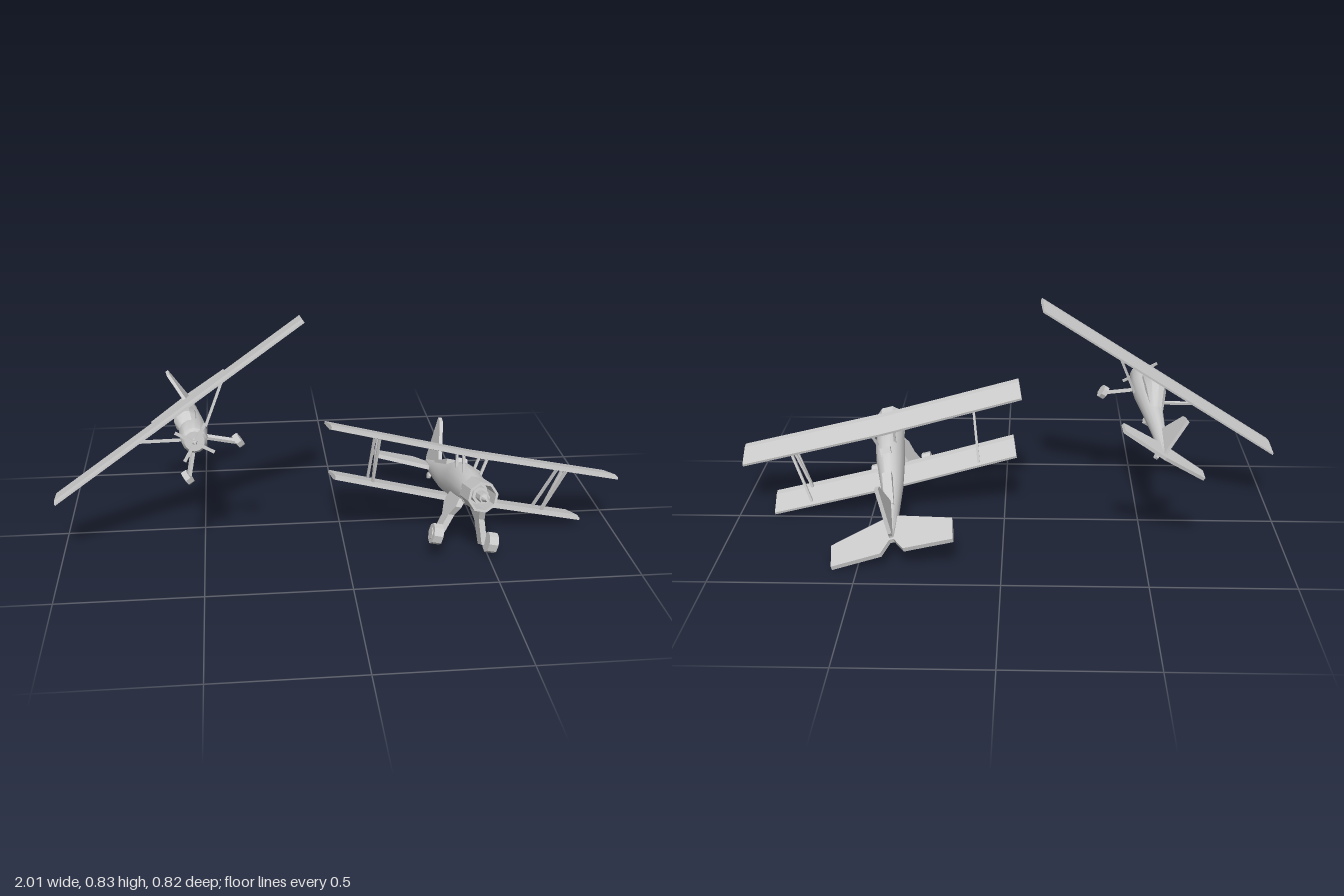
import * as THREE from 'three';
import { toCreasedNormals } from 'three/addons/utils/BufferGeometryUtils.js';

const flat = new THREE.MeshStandardMaterial({ color: 0xcccccc, flatShading: true, side: THREE.DoubleSide });
const smooth = new THREE.MeshStandardMaterial({ color: 0xcccccc });
const V = (x, y, z) => new THREE.Vector3(x, y, z);

function add(group, name, geometry, material = flat) {
  const mesh = new THREE.Mesh(geometry, material);
  mesh.name = name;
  group.add(mesh);
  return mesh;
}

const toShape = (points) => new THREE.Shape(points.map(([a, b]) => new THREE.Vector2(a, b)));

// Closed body through elliptical sections [z, top, bottom, halfWidth], nose first
function loft(sections, sides = 14) {
  const pos = [], idx = [];
  for (const [z, top, bottom, w] of sections) {
    for (let j = 0; j < sides; j++) {
      const a = (j / sides) * Math.PI * 2;
      pos.push(Math.cos(a) * w, (top + bottom) / 2 + Math.sin(a) * (top - bottom) / 2, z);
    }
  }
  const last = sections.length - 1, centre = sections.length * sides;
  for (const s of [sections[0], sections[last]]) pos.push(0, (s[1] + s[2]) / 2, s[0]);
  for (let j = 0; j < sides; j++) {
    const k = (j + 1) % sides;
    for (let i = 0; i < last; i++) {
      const a = i * sides + j, b = i * sides + k;
      idx.push(a, a + sides, b, a + sides, b + sides, b);
    }
    idx.push(centre, j, k, centre + 1, last * sides + k, last * sides + j);
  }
  const g = new THREE.BufferGeometry();
  g.setAttribute('position', new THREE.Float32BufferAttribute(pos, 3));
  g.setIndex(idx);
  return toCreasedNormals(g, 0.6);
}

// Extrude a (z, y) side profile across x, centred on x = 0
function sideExtrude(points, width, steps = 1) {
  const g = new THREE.ExtrudeGeometry(toShape(points), { depth: width, steps, bevelEnabled: false });
  return g.rotateY(-Math.PI / 2).translate(width / 2, 0, 0);
}

// Horizontal plate from its right-to-left symmetric half outline (x, z)
function tailPlate(half, thickness) {
  const mirrored = half.map(([x, z]) => [-x, z]).reverse();
  const g = new THREE.ExtrudeGeometry(toShape([...half, ...mirrored]), { depth: thickness, bevelEnabled: false });
  return g.rotateX(Math.PI / 2).translate(0, thickness / 2, 0);
}

// Thin wing, raised towards the tips by the dihedral
function wing(span, chord, thickness, dihedral) {
  const h = chord / 2, t = thickness / 2;
  const g = sideExtrude([[h, -t * 0.5], [h, t * 0.5], [h * 0.55, t], [-h, t * 0.5], [-h, -t * 0.5], [h * 0.55, -t]], span, 2);
  const p = g.attributes.position;
  for (let i = 0; i < p.count; i++) p.setY(i, p.getY(i) + Math.abs(p.getX(i)) * dihedral);
  g.computeVertexNormals();
  return g;
}

function strut(group, name, a, b, width, depth = width) {
  const mesh = add(group, name, new THREE.BoxGeometry(width, a.distanceTo(b), depth));
  mesh.position.copy(a).lerp(b, 0.5);
  mesh.quaternion.setFromUnitVectors(V(0, 1, 0), b.clone().sub(a).normalize());
}

function wheel(group, name, at, radius, width, sides = 8) {
  const g = new THREE.CylinderGeometry(radius, radius, width, sides).rotateZ(Math.PI / 2);
  add(group, name, g).position.copy(at);
}

// Cylinder or cone along z
function barrel(group, name, rFront, rBack, z0, z1, sides, open = false) {
  const g = new THREE.CylinderGeometry(rFront, rBack, z1 - z0, sides, 1, open, Math.PI / sides);
  return add(group, name, g.rotateX(Math.PI / 2).translate(0, 0, (z0 + z1) / 2));
}

// Place an aircraft by its origin, its left direction and its forward direction
function orient(group, origin, left, forward) {
  const f = forward.normalize();
  const up = f.clone().cross(left).normalize();
  group.setRotationFromMatrix(new THREE.Matrix4().makeBasis(up.clone().cross(f), up, f));
  group.position.copy(origin);
}

function createMonoplane() {
  const g = new THREE.Group();
  g.name = 'monoplane';
  add(g, 'fuselage', loft([
    [0.178, 0.036, -0.034, 0.034], [0.165, 0.045, -0.043, 0.043], [0.08, 0.053, -0.05, 0.047],
    [0, 0.054, -0.048, 0.046], [-0.12, 0.044, -0.036, 0.036], [-0.28, 0.03, -0.024, 0.022],
    [-0.43, 0.012, -0.016, 0.008],
  ]), smooth);
  // Cabin roof reaching up to the wing
  add(g, 'cabin', loft([[0.085, 0.05, 0.01, 0.03], [0.05, 0.082, 0, 0.04], [-0.04, 0.082, 0, 0.04], [-0.16, 0.04, 0, 0.025]], 10), smooth);
  add(g, 'wing', wing(1.06, 0.118, 0.014, 0)).position.set(0, 0.082, 0.003);
  add(g, 'fin', sideExtrude([[-0.29, 0.02], [-0.36, 0.128], [-0.405, 0.136], [-0.435, 0], [-0.4, -0.01]], 0.012));
  add(g, 'tailplane', tailPlate([[0, -0.366], [0.172, -0.388], [0.172, -0.44], [0, -0.461]], 0.012));

  for (const s of [-1, 1]) {
    strut(g, 'wingStrut', V(s * 0.04, -0.02, 0.015), V(s * 0.19, 0.08, 0.005), 0.009, 0.012);
    strut(g, 'gearLeg', V(s * 0.025, -0.035, 0.075), V(s * 0.1, -0.108, 0.09), 0.011, 0.018);
    wheel(g, 'mainWheel', V(s * 0.108, -0.11, 0.09), 0.026, 0.02);
  }
  strut(g, 'tailWheelLeg', V(0, -0.01, -0.38), V(0, -0.032, -0.392), 0.008);
  wheel(g, 'tailWheel', V(0, -0.034, -0.393), 0.012, 0.01);

  // Propeller
  barrel(g, 'spinner', 0.004, 0.013, 0.175, 0.203, 8);
  for (let i = 0; i < 4; i++) {
    const blade = add(g, 'propellerBlade', new THREE.BoxGeometry(0.011, 0.072, 0.004).translate(0, 0.038, 0));
    blade.position.z = 0.19;
    blade.rotation.z = 0.45 + (i * Math.PI) / 2;
  }
  orient(g, V(-0.525, 0.465, 0.12), V(0.82, 0.555, -0.118), V(0.06, 0.12, 0.99));
  return g;
}

function createBiplane() {
  const g = new THREE.Group();
  g.name = 'biplane';
  add(g, 'fuselage', loft([
    [0.11, 0.053, -0.055, 0.052], [0.05, 0.064, -0.064, 0.055], [-0.03, 0.072, -0.066, 0.054],
    [-0.1, 0.068, -0.07, 0.051], [-0.215, 0.037, -0.07, 0.041], [-0.35, 0.02, -0.057, 0.027],
    [-0.44, 0.008, -0.042, 0.018], [-0.51, 0, -0.02, 0.008],
  ]), smooth);
  // Fairing behind the cockpit
  add(g, 'headrest', sideExtrude([[-0.215, 0.01], [-0.215, 0.053], [-0.36, 0.018], [-0.36, 0]], 0.034));
  add(g, 'windscreen', sideExtrude([[-0.075, 0.06], [-0.1, 0.08], [-0.125, 0.05]], 0.04));

  // Open engine cowl with hub and spinner
  barrel(g, 'cowl', 0.055, 0.055, 0.105, 0.207, 8, true);
  barrel(g, 'cowlLining', 0.046, 0.046, 0.105, 0.207, 8, true);
  const rim = new THREE.RingGeometry(0.046, 0.055, 8, 1, Math.PI / 8);
  add(g, 'cowlRim', rim).position.z = 0.207;
  barrel(g, 'engine', 0.03, 0.03, 0.1, 0.175, 8);
  barrel(g, 'hub', 0.019, 0.019, 0.17, 0.222, 8);
  barrel(g, 'spinner', 0.004, 0.014, 0.222, 0.245, 8);

  add(g, 'upperWing', wing(1.08, 0.135, 0.018, 0.02)).position.set(0, 0.116, 0);
  add(g, 'lowerWing', wing(0.94, 0.137, 0.018, 0.02)).position.set(0, -0.068, -0.09);
  add(g, 'fin', sideExtrude([[-0.34, 0.01], [-0.435, 0.162], [-0.465, 0.175], [-0.515, 0.01], [-0.505, -0.02], [-0.45, -0.03]], 0.014));
  add(g, 'tailplane', tailPlate([[0, -0.4], [0.03, -0.4], [0.22, -0.478], [0.217, -0.59], [0.04, -0.58], [0.008, -0.52]], 0.016)).position.y = -0.02;

  // Trouser leg side profile, splayed outwards below the body
  const legProfile = [[0.1, -0.035], [0.107, -0.065], [0.084, -0.1], [0.085, -0.19], [0.036, -0.198], [0.024, -0.112], [-0.03, -0.07], [-0.02, -0.035]];
  for (const s of [-1, 1]) {
    const leg = sideExtrude(legProfile, 0.022);
    const p = leg.attributes.position;
    for (let i = 0; i < p.count; i++) p.setX(i, p.getX(i) + s * (0.035 + (-0.035 - p.getY(i)) * 0.34));
    leg.computeVertexNormals();
    add(g, 'gearLeg', leg);
    wheel(g, 'mainWheel', V(s * 0.103, -0.173, 0.1), 0.037, 0.034);
    wheel(g, 'wheelHub', V(s * 0.106, -0.173, 0.1), 0.02, 0.036);

    // Interplane struts: two uprights and a brace
    for (const [top, bottom] of [[0.03, -0.055], [-0.005, -0.055], [-0.045, -0.14]]) {
      strut(g, 'interplaneStrut', V(s * 0.325, -0.06, bottom), V(s * 0.355, 0.12, top), 0.009, 0.01);
    }
    for (const z of [0.04, -0.04]) strut(g, 'cabaneStrut', V(s * 0.03, 0.04, z), V(s * 0.045, 0.115, z), 0.009);
  }
  strut(g, 'tailWheelLeg', V(0, -0.03, -0.44), V(0, -0.055, -0.45), 0.009);
  wheel(g, 'tailWheel', V(0, -0.058, -0.45), 0.013, 0.012);
  orient(g, V(0.44, 0.221, 0.166), V(0.968, -0.241, -0.05), V(0.1, 0.225, 0.97));
  return g;
}

export function createModel() {
  const model = new THREE.Group();
  model.name = 'aircraftPair';
  model.add(createMonoplane(), createBiplane());
  return model;
}
